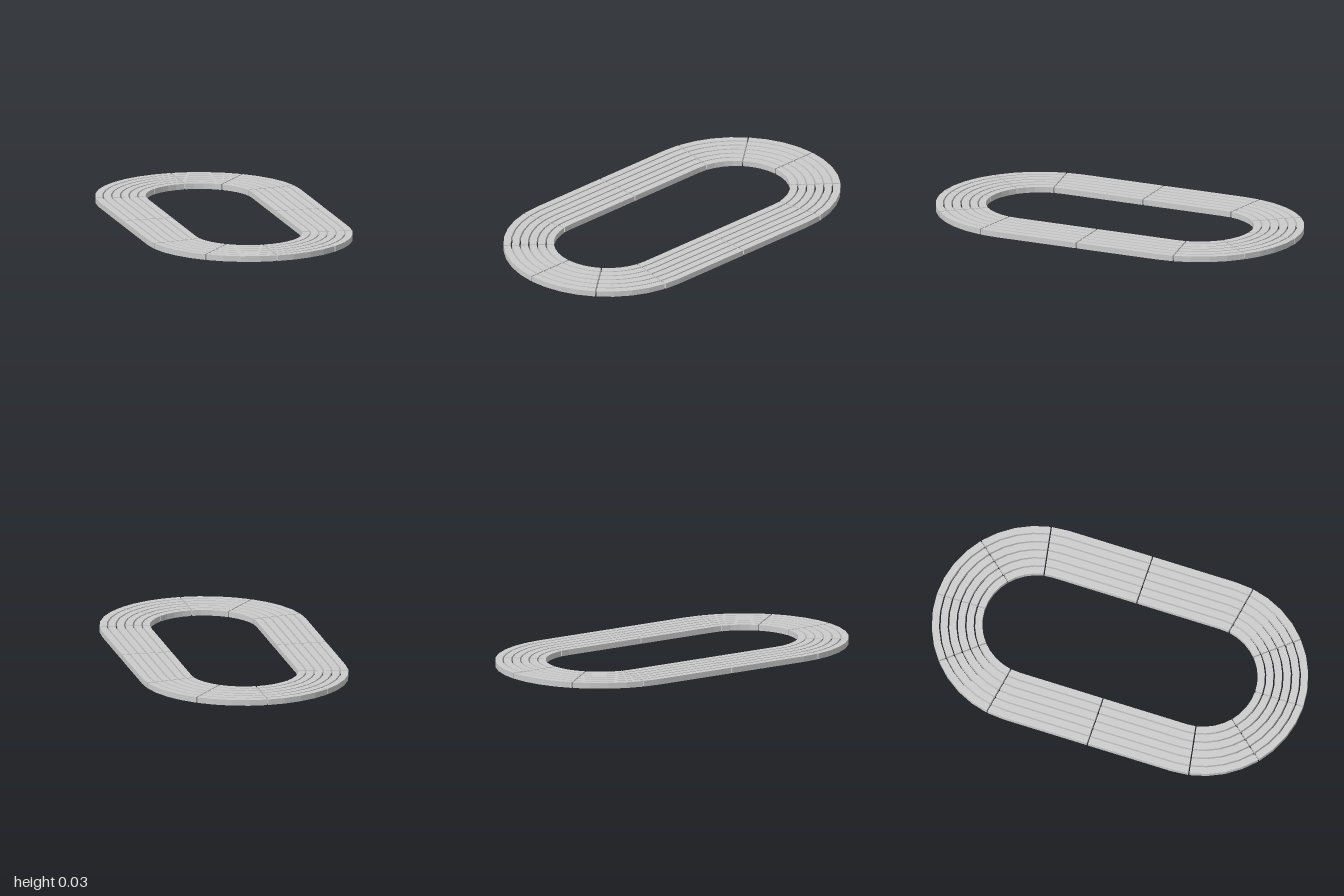
import * as THREE from 'three';

const SLATS = 6, SLAT_W = 0.037, PITCH = 0.045, R_IN = 0.281;
const HEIGHT = 0.03, CENTRE_Z = 0.457, GAP = 0.007;

const material = new THREE.MeshStandardMaterial({
  color: 0xcccccc, flatShading: true, side: THREE.DoubleSide,
});

// Angles (degrees) of the pieces in one quarter; null is the middle of the straight
const PIECES = [
  { name: 'straightSlat', stops: [null, 0, 10] },
  { name: 'curveSlat', stops: [10, 20, 30, 40, 50] },
  { name: 'endSlat', stops: [50, 60, 70, 80, 90] },
];

// Point in plan at a stop, moved along the path by shift to leave a joint
function planPoint(stop, r, shift) {
  if (stop === null) return [r, shift];
  const a = THREE.MathUtils.degToRad(stop);
  return [r * Math.cos(a) - shift * Math.sin(a), CENTRE_Z + r * Math.sin(a) + shift * Math.cos(a)];
}

// Upturned channel: top, two side walls and two end walls, open underneath
function slatGeometry(stops, rIn, sx, sz) {
  const rOut = rIn + SLAT_W;
  const sections = stops.map((stop, i) => {
    const shift = i === 0 ? GAP / 2 : i === stops.length - 1 ? -GAP / 2 : 0;
    const [ox, oz] = planPoint(stop, rOut, shift);
    const [ix, iz] = planPoint(stop, rIn, shift);
    return [[ox, 0, oz], [ox, HEIGHT, oz], [ix, HEIGHT, iz], [ix, 0, iz]]
      .map(([x, y, z]) => [x * sx, y, z * sz]);
  });
  const positions = [];
  const quad = (...corners) => {
    const [a, b, c, d] = sx * sz < 0 ? corners.reverse() : corners;
    positions.push(...a, ...b, ...c, ...a, ...c, ...d);
  };
  for (let k = 0; k < sections.length - 1; k++) {
    const A = sections[k], B = sections[k + 1];
    for (let j = 0; j < 3; j++) quad(A[j], A[j + 1], B[j + 1], B[j]);
  }
  quad(...[...sections[0]].reverse());
  quad(...sections[sections.length - 1]);
  const geometry = new THREE.BufferGeometry();
  geometry.setAttribute('position', new THREE.Float32BufferAttribute(positions, 3));
  geometry.computeVertexNormals();
  return geometry;
}

export function createModel() {
  const model = new THREE.Group();
  model.name = 'ovalSlattedRing';
  // Four mirrored quarters, three pieces each, six concentric slats per piece
  for (const sx of [1, -1]) for (const sz of [1, -1]) {
    const quarter = new THREE.Group();
    quarter.name = `${sz > 0 ? 'front' : 'back'}${sx > 0 ? 'Left' : 'Right'}Quarter`;
    for (const { name, stops } of PIECES) {
      for (let i = 0; i < SLATS; i++) {
        const slat = new THREE.Mesh(slatGeometry(stops, R_IN + i * PITCH, sx, sz), material);
        slat.name = `${name}${i + 1}`;
        quarter.add(slat);
      }
    }
    model.add(quarter);
  }
  return model;
}
